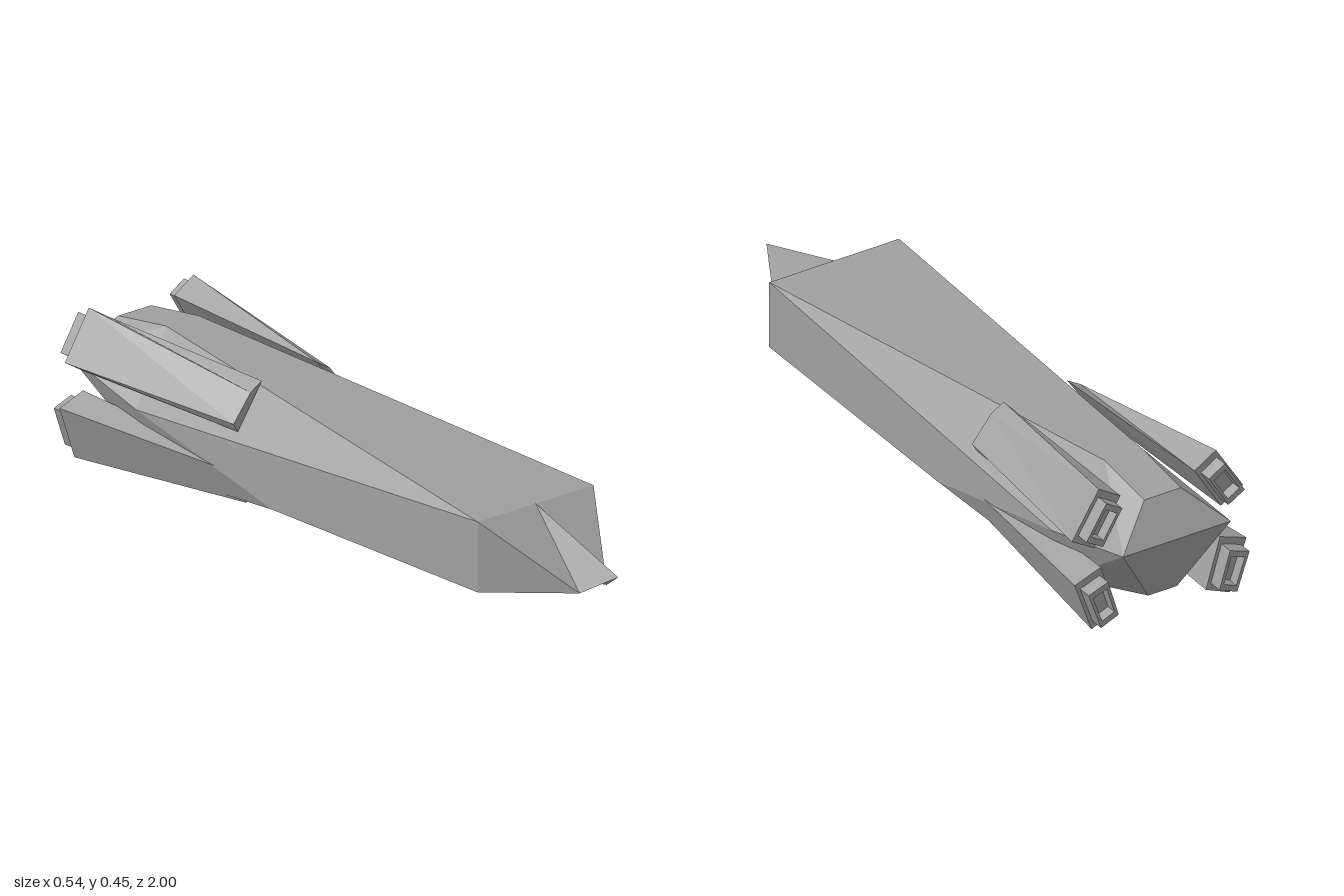
import * as THREE from 'three';

const hullGrey = new THREE.MeshStandardMaterial({ color: 0xa0a0a0 });
hullGrey.name = 'hullGrey';
hullGrey.flatShading = true;

// Faceted mesh from a list of triangles, each holding three corners
function facetMesh(name, tris) {
  const geo = new THREE.BufferGeometry();
  geo.setFromPoints(tris.flat().map((p) => new THREE.Vector3(...p)));
  geo.computeVertexNormals();
  const mesh = new THREE.Mesh(geo, hullGrey);
  mesh.name = name;
  return mesh;
}

// Half hull: lower-case names are the mirrored (-x) twins
const half = {
  T: [0, 0.295, 0.67], N: [0, 0.18, 1], B: [0, 0.095, 0.67], // nose centre line
  F: [0.048, 0.118, 0.9],                                    // nose prongs
  C: [0.205, 0.295, 0.67], L: [0.205, 0.095, 0.67],          // bow corners
  P: [0.205, 0.095, -0.15], W: [0.2, 0.22, -0.7],            // side chines
  U: [0.058, 0.41, -0.74], V: [0.058, 0.385, -0.93],         // roof
  R: [0.17, 0.28, -1],                                       // stern edge
  K: [0.045, 0, -0.61], J: [0.135, 0.03, -0.65], S: [0.045, 0.085, -0.93], // keel
};

function createHull() {
  const faces = ('TNF TFC FCL FLB NFB ' +
    'CUW CWP CPL PWJ PJK UWR URV WJR JRS JSK').split(' ');
  const spans = ['CU', 'UV', 'VR', 'RS', 'SK', 'KP', 'PL'];
  const centre = new THREE.Vector3(0, 0.2, 0);
  const tris = [];
  const add = (pts) => {
    const [a, b, c] = pts.map((p) => new THREE.Vector3(...p));
    const n = b.clone().sub(a).cross(c.clone().sub(a));
    const mid = a.clone().add(b).add(c).divideScalar(3).sub(centre);
    tris.push(n.dot(mid) > 0 ? pts : [pts[0], pts[2], pts[1]]);
  };
  const mirror = ([x, y, z]) => [-x, y, z];
  for (const f of faces) {
    const pts = [...f].map((k) => half[k]);
    add(pts);
    add(pts.map(mirror));
  }
  // panels crossing the centre line
  for (const [a, b] of spans) {
    add([half[a], half[b], mirror(half[b])]);
    add([half[a], mirror(half[b]), mirror(half[a])]);
  }
  return facetMesh('hull', tris);
}

// Tapered engine pod with a stepped, recessed exhaust
function createPod(name, side, front, rear, zFront, zRear, exhaust) {
  const cx = rear.reduce((s, p) => s + p[0], 0) / 4;
  const cy = rear.reduce((s, p) => s + p[1], 0) / 4;
  const ring = (pts, z, k = 1) => {
    const r = pts.map(([x, y]) => k === 1
      ? [side * x, y, z]
      : [side * (cx + (x - cx) * k), cy + (y - cy) * k, z]);
    return side < 0 ? r.reverse() : r;
  };
  const loft = (rings) => {
    const tris = [];
    for (let r = 0; r + 1 < rings.length; r++) {
      for (let i = 0; i < 4; i++) {
        const j = (i + 1) % 4, a = rings[r], b = rings[r + 1];
        tris.push([a[i], a[j], b[j]], [a[i], b[j], b[i]]);
      }
    }
    const f = rings[0], e = rings[rings.length - 1];
    tris.push([f[0], f[2], f[1]], [f[0], f[3], f[2]], [e[0], e[1], e[2]], [e[0], e[2], e[3]]);
    return tris;
  };
  const pod = new THREE.Group();
  pod.name = name;
  pod.add(facetMesh('podBody', loft([ring(front, zFront), ring(rear, zRear)])));
  pod.add(facetMesh('exhaust', loft([
    ring(rear, zRear + 0.02, 0.74), ring(rear, zRear - exhaust, 0.74),
    ring(rear, zRear - exhaust, 0.52), ring(rear, zRear - exhaust + 0.03, 0.5),
  ])));
  return pod;
}

export function createModel() {
  const model = new THREE.Group();
  model.name = 'spaceship';
  model.add(createHull());

  const upperFront = [[0.1, 0.388], [0.14, 0.365], [0.2, 0.29], [0.185, 0.265]];
  const upperRear = [[0.117, 0.405], [0.185, 0.447], [0.27, 0.312], [0.2, 0.27]];
  const lowerFront = [[0.15, 0.16], [0.195, 0.15], [0.165, 0.062], [0.12, 0.08]];
  const lowerRear = [[0.175, 0.2], [0.258, 0.17], [0.205, 0.018], [0.13, 0.05]];
  for (const side of [1, -1]) {
    const label = side > 0 ? 'left' : 'right';
    model.add(createPod(label + 'UpperPod', side, upperFront, upperRear, -0.31, -0.905, 0.04));
    model.add(createPod(label + 'LowerPod', side, lowerFront, lowerRear, -0.3,
      side > 0 ? -0.9 : -0.94, 0.042));
  }
  return model;
}
